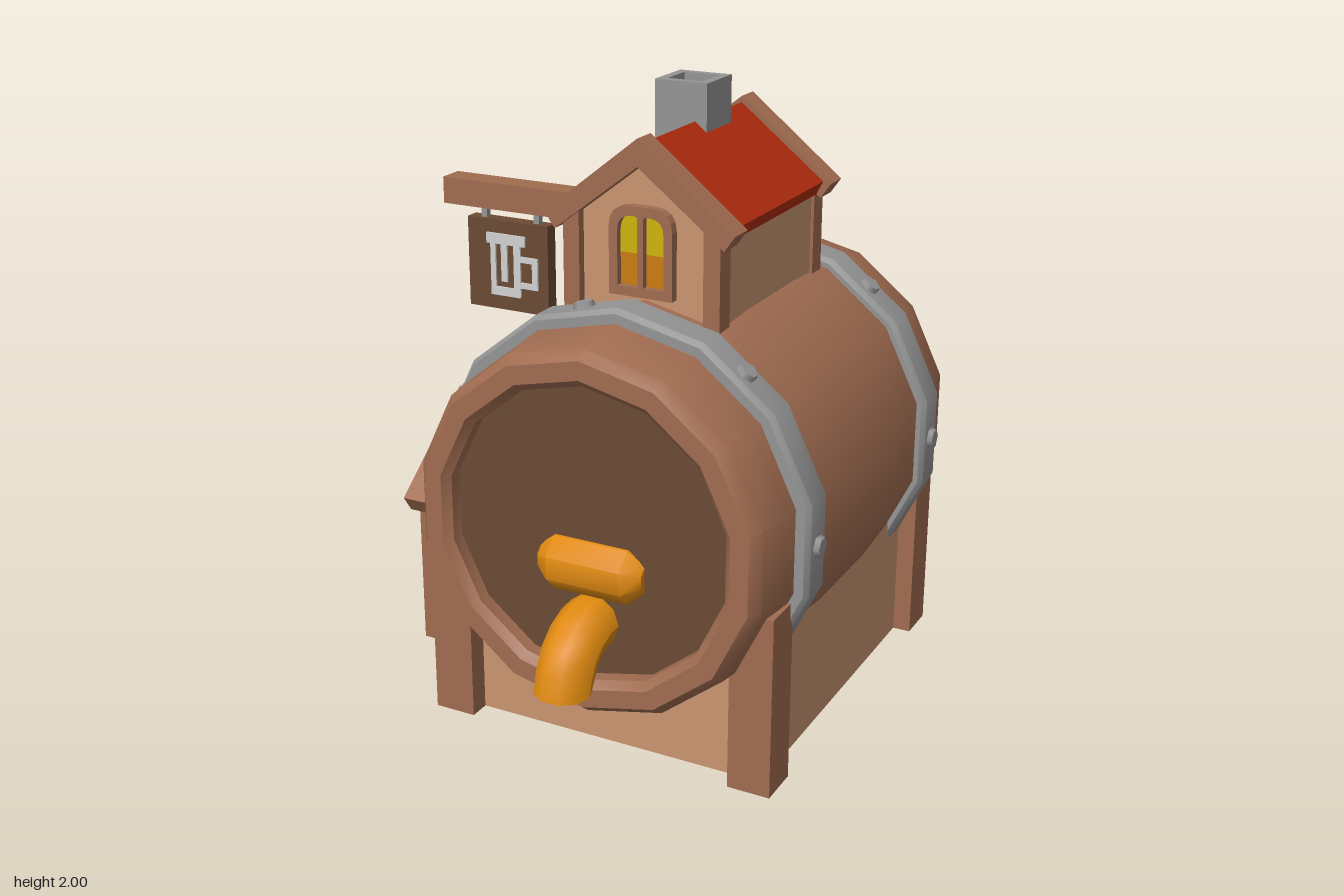
import * as THREE from 'three';
import { toCreasedNormals } from 'three/addons/utils/BufferGeometryUtils.js';

const mat = (name, color, side = THREE.FrontSide) =>
  Object.assign(new THREE.MeshStandardMaterial({ color, side }), { name });

export function createModel() {
  const M = {
    wood: mat('wood', 0xa06c50, THREE.DoubleSide),
    plaster: mat('plaster', 0xc8946f, THREE.DoubleSide),
    dark: mat('darkWood', 0x6a4a34, THREE.DoubleSide),
    roof: mat('roofRed', 0xb02c0e),
    metal: mat('metal', 0x949494),
    brass: mat('brass', 0xe08a10),
    yellow: mat('windowYellow', 0xcdb40c),
    amber: mat('windowAmber', 0xcc7c10),
    pale: mat('paleEmblem', 0xd2d2d2),
  };
  const model = new THREE.Group();
  model.name = 'barrelTavern';

  const add = (parent, name, geo, material, x = 0, y = 0, z = 0) => {
    const m = new THREE.Mesh(geo, material);
    m.name = name;
    m.position.set(x, y, z);
    parent.add(m);
    return m;
  };
  const group = (parent, name, x = 0, y = 0, z = 0) => {
    const g = new THREE.Group();
    g.name = name;
    g.position.set(x, y, z);
    parent.add(g);
    return g;
  };
  const box = (w, h, d) => new THREE.BoxGeometry(w, h, d);
  // Box without some faces (order +x, -x, +y, -y, +z, -z)
  const openBox = (w, h, d, ...skip) => {
    const g = box(w, h, d);
    g.setIndex([...g.index.array].filter((_, i) => !skip.includes(Math.floor(i / 6))));
    g.clearGroups();
    return g;
  };
  const poly = (pts) => new THREE.Shape(pts.map(([x, y]) => new THREE.Vector2(x, y)));
  const extrude = (shape, depth) =>
    new THREE.ExtrudeGeometry(shape, { depth, bevelEnabled: false, curveSegments: 4 });
  // Profile [radius, z] turned about the z axis
  const turned = (pts, sides = 14) => toCreasedNormals(
    new THREE.LatheGeometry(pts.map(([r, z]) => new THREE.Vector2(r, z)), sides).rotateX(Math.PI / 2), 0.6);

  // Barrel, with a recessed dark head at each end
  const barrel = group(model, 'barrel', 0.145, 0.77, -0.1);
  const half = [[0.476, 0.71], [0.476, 0.755], [0.5, 0.78], [0.56, 0.78], [0.588, 0.745],
    [0.603, 0.6], [0.625, 0.38], [0.635, 0.18]];
  add(barrel, 'barrelStaves', turned([...half.map(([r, z]) => [r, -z]), ...half.slice().reverse()]), M.wood);
  for (const s of [1, -1]) {
    const head = add(barrel, 'barrelHead', new THREE.CircleGeometry(0.48, 14, Math.PI / 2), M.dark, 0, 0, s * 0.71);
    if (s < 0) head.rotation.y = Math.PI;
  }

  // Metal hoops with hexagonal bolts
  for (const z of [0.49, -0.485]) {
    const hoop = group(barrel, 'hoop', 0, 0, z);
    add(hoop, 'hoopBand', turned([[0.59, -0.068], [0.638, -0.068], [0.652, -0.05],
      [0.652, 0.05], [0.638, 0.068], [0.59, 0.068]]), M.metal);
    for (let i = 0; i < 7; i++) {
      const a = (Math.PI * 2 * (i + 0.75)) / 7;
      const bolt = add(hoop, 'bolt', new THREE.CylinderGeometry(0.03, 0.036, 0.02, 6), M.metal,
        Math.sin(a) * 0.643, Math.cos(a) * 0.643, 0);
      bolt.rotation.z = -a;
    }
  }

  // Tap: faceted handle and bent spout
  const tap = group(model, 'tap', 0.145, 0, 0);
  const handle = new THREE.LatheGeometry([[0, -0.178], [0.05, -0.178], [0.095, -0.125],
    [0.095, 0.125], [0.05, 0.178], [0, 0.178]].map(([r, y]) => new THREE.Vector2(r, y)), 8);
  handle.rotateY(Math.PI / 8).rotateZ(Math.PI / 2);
  add(tap, 'tapHandle', toCreasedNormals(handle, 0.8), M.brass, 0, 0.648, 0.585);
  const path = new THREE.CatmullRomCurve3([[0.55, 0.475], [0.67, 0.47], [0.75, 0.42], [0.795, 0.32]]
    .map(([z, y]) => new THREE.Vector3(0, y, z)));
  const spout = new THREE.TubeGeometry(path, 6, 0.09, 10);
  const sp = spout.attributes.position;
  for (let i = 6 * 11; i < 7 * 11; i++) sp.setY(i, 0.32); // level mouth
  spout.computeVertexNormals();
  add(tap, 'tapSpout', spout, M.brass);
  add(tap, 'tapMouth', new THREE.CircleGeometry(0.083, 10).rotateX(Math.PI / 2), M.brass, 0, 0.322, 0.795);

  // Cradle: hollow base with four corner posts
  const base = group(model, 'cradle', 0.135, 0, -0.095);
  add(base, 'cradleWalls', openBox(1.07, 0.5, 1.21, 2, 3), M.plaster, 0, 0.255, 0);
  for (const x of [-0.525, 0.525]) for (const z of [-0.605, 0.605]) {
    add(base, 'cradlePost', openBox(0.14, 0.595, 0.14, 3), M.wood, x, 0.302, z);
  }

  // Arched window with two panes, facing +z
  const arch = (x0, x1, y0, y1, rl, rr, T = THREE.Shape) => {
    const s = new T();
    s.moveTo(x0, y0).lineTo(x1, y0).lineTo(x1, y1 - rr);
    s.quadraticCurveTo(x1, y1, x1 - rr, y1).lineTo(x0 + rl, y1);
    s.quadraticCurveTo(x0, y1, x0, y1 - rl).lineTo(x0, y0);
    return s;
  };
  const addWindow = (parent, y, z, turn) => {
    const w = group(parent, 'window', 0, y, z);
    w.rotation.y = turn;
    const frame = arch(-0.107, 0.107, -0.14, 0.14, 0.07, 0.07);
    frame.holes.push(arch(-0.078, -0.01, -0.11, 0.11, 0.05, 0.012, THREE.Path),
      arch(0.01, 0.078, -0.11, 0.11, 0.012, 0.05, THREE.Path));
    add(w, 'windowFrame', extrude(frame, 0.03), M.wood);
    add(w, 'upperPanes', new THREE.PlaneGeometry(0.17, 0.13), M.yellow, 0, 0.055, 0.008);
    add(w, 'lowerPanes', new THREE.PlaneGeometry(0.17, 0.11), M.amber, 0, -0.065, 0.008);
  };

  // Gabled house: apex at the origin, front gable at z = 0, running back along -z
  const house = (name, drop, length, windowY, backGable) => {
    const h = group(model, name);
    const gable = poly([[-0.25, -drop], [0.25, -drop], [0.25, -0.25], [0, -0.05], [-0.25, -0.25]]);
    const ends = backGable ? [[-0.05, 0], [-length + 0.05, Math.PI]] : [[-0.05, 0]];
    const barge = poly([[-0.32, -0.255], [-0.285, -0.305], [0, -0.085], [0.285, -0.305], [0.32, -0.255], [0, 0]]);
    for (const [z, turn] of ends) {
      const end = add(h, 'gableWall', new THREE.ShapeGeometry(gable), M.plaster, 0, 0, z);
      end.rotation.y = turn;
      addWindow(h, windowY, z, turn);
      const zc = turn ? -length + 0.045 : -0.045;
      add(h, 'bargeboard', extrude(barge, 0.086), M.wood, 0, 0, zc - 0.043);
      const zp = turn ? -length + 0.055 : -0.055;
      for (const s of [-1, 1]) {
        add(h, 'cornerPost', openBox(0.055, drop - 0.23, 0.07, 3), M.wood, s * 0.2375, -(drop + 0.23) / 2, zp);
      }
    }
    const wallLength = backGable ? length - 0.1 : length - 0.05;
    for (const s of [-1, 1]) {
      add(h, 'sideWall', new THREE.PlaneGeometry(wallLength, drop - 0.23).rotateY(s * Math.PI / 2), M.plaster,
        s * 0.255, -(drop + 0.23) / 2, -0.05 - wallLength / 2);
    }
    const roof = poly([[-0.293, -0.25], [-0.27, -0.295], [0, -0.08], [0.27, -0.295], [0.293, -0.25], [0, -0.02]]);
    const back = backGable ? length - 0.06 : length;
    add(h, 'roof', extrude(roof, back - 0.06), M.roof, 0, 0, -back);
    return h;
  };
  const dormer = house('dormer', 0.65, 0.81, -0.35, true);
  dormer.position.set(0.14, 1.9, 0.31);
  const annex = house('annex', 0.737, 0.36, -0.41, false);
  annex.position.set(-0.79, 0.845, -0.105);
  annex.rotation.y = -Math.PI / 2;
  annex.scale.setScalar(1.14);

  // Chimney with an open flue
  const chimney = group(model, 'chimney', 0.09, 1.85, -0.16);
  const stack = poly([[-0.09, -0.088], [0.09, -0.088], [0.09, 0.088], [-0.09, 0.088]]);
  stack.holes.push(poly([[-0.06, -0.058], [-0.06, 0.058], [0.06, 0.058], [0.06, -0.058]]));
  add(chimney, 'chimneyStack', extrude(stack, 0.3).rotateX(-Math.PI / 2), M.metal, 0, -0.15, 0);
  add(chimney, 'flue', box(0.122, 0.2, 0.118), M.dark, 0, 0, 0);

  // Hanging sign on a beam
  const sign = group(model, 'hangingSign', -0.555, 0, -0.1);
  add(sign, 'signBeam', box(0.67, 0.09, 0.09), M.wood, 0.1, 1.56, 0);
  for (const x of [-0.098, 0.105]) add(sign, 'signHanger', box(0.022, 0.06, 0.022), M.metal, x, 1.495, 0);
  add(sign, 'signBoard', box(0.31, 0.31, 0.05), M.dark, 0, 1.32, 0);
  // Mug emblem bars: x, y, width, height
  const bars = [[-0.005, 0.092, 0.15, 0.036], [-0.055, 0.0, 0.02, 0.2], [-0.012, 0.01, 0.024, 0.13],
    [0.038, 0.0, 0.026, 0.2], [-0.008, -0.09, 0.114, 0.03], [0.08, 0.03, 0.07, 0.02],
    [0.08, -0.06, 0.07, 0.02], [0.107, -0.015, 0.022, 0.11]];
  for (const s of [1, -1]) {
    const mug = group(sign, 'mugEmblem', 0, 1.32, s * 0.028);
    for (const [x, y, w, h] of bars) add(mug, 'mugBar', box(w, h, 0.008), M.pale, x, y, 0);
  }
  return model;
}
